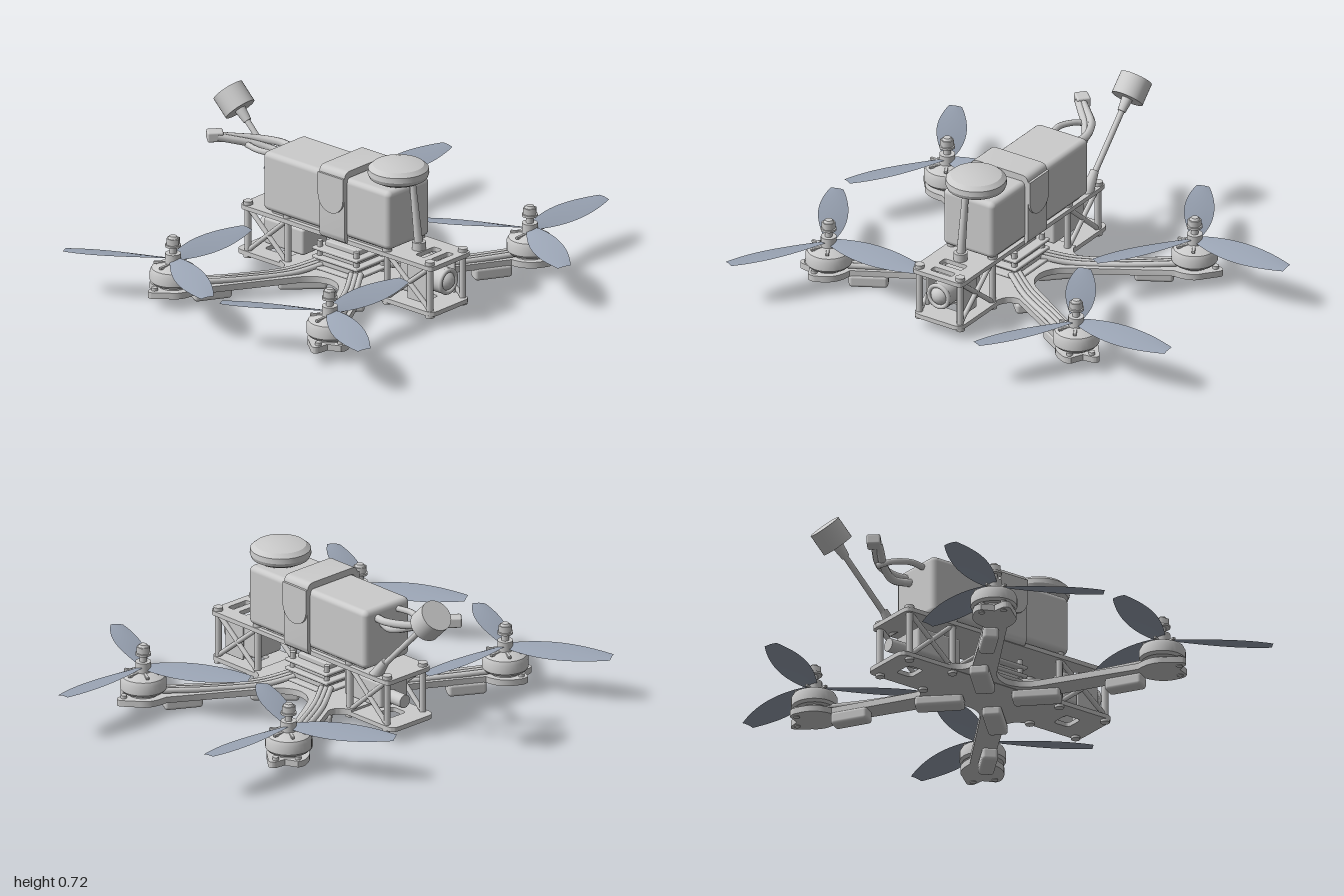
import * as THREE from 'three';
import { toCreasedNormals } from 'three/addons/utils/BufferGeometryUtils.js';
import { RoundedBoxGeometry } from 'three/addons/geometries/RoundedBoxGeometry.js';

const grey = new THREE.MeshStandardMaterial({ color: 0xcccccc });
const bladeMat = new THREE.MeshStandardMaterial({ color: 0x9aa4b4, side: THREE.DoubleSide });
const V = (x, y, z) => new THREE.Vector3(x, y, z);

function add(parent, name, geo, x = 0, y = 0, z = 0, mat = grey) {
  const m = new THREE.Mesh(geo, mat);
  m.name = name;
  m.position.set(x, y, z);
  parent.add(m);
  return m;
}
const box = (p, name, w, h, d, x, y, z, r = 0.008) =>
  add(p, name, new RoundedBoxGeometry(w, h, d, 2, r), x, y, z);
const cyl = (p, name, r, h, x, y, z, n = 20, r2 = r) =>
  add(p, name, new THREE.CylinderGeometry(r2, r, h, n), x, y, z);

// Straight rod between two points
function rod(p, name, a, b, r, r2 = r, n = 12) {
  const m = cyl(p, name, r, a.distanceTo(b), 0, 0, 0, n, r2);
  m.position.copy(a).lerp(b, 0.5);
  m.quaternion.setFromUnitVectors(V(0, 1, 0), b.clone().sub(a).normalize());
  return m;
}
const tube = (p, name, pts, r, n = 20) =>
  add(p, name, new THREE.TubeGeometry(new THREE.CatmullRomCurve3(pts), n, r, 8));

// Horizontal plate: shape is drawn in x,z and its top lies at yTop
function plate(p, name, shape, yTop, t) {
  const g = new THREE.ExtrudeGeometry(shape, { depth: t, bevelEnabled: false, curveSegments: 10 });
  g.rotateX(Math.PI / 2);
  return add(p, name, toCreasedNormals(g, 0.6), 0, yTop, 0);
}

function roundedRect(x0, z0, x1, z1, r) {
  const s = new THREE.Shape();
  s.moveTo(x0 + r, z0);
  s.lineTo(x1 - r, z0).quadraticCurveTo(x1, z0, x1, z0 + r);
  s.lineTo(x1, z1 - r).quadraticCurveTo(x1, z1, x1 - r, z1);
  s.lineTo(x0 + r, z1).quadraticCurveTo(x0, z1, x0, z1 - r);
  s.lineTo(x0, z0 + r).quadraticCurveTo(x0, z0, x0 + r, z0);
  return s;
}

// One blade along +x, pitched more steeply at the root
function bladeGeometry() {
  const g = new THREE.PlaneGeometry(1, 1, 24, 4);
  const pos = g.attributes.position;
  for (let i = 0; i < pos.count; i++) {
    const t = pos.getX(i) + 0.5, s = pos.getY(i);
    const w = 0.02 + 0.11 * Math.pow(Math.sin(Math.PI * (0.06 + 0.86 * t)), 0.8);
    const pitch = 0.32 - 0.2 * t;
    pos.setXYZ(i, 0.025 + 0.45 * t, s * w * Math.sin(pitch) + 0.012 * (0.25 - s * s), -s * w * Math.cos(pitch));
  }
  g.computeVertexNormals();
  return g;
}

function motor() {
  const m = new THREE.Group();
  m.name = 'motor';
  cyl(m, 'motorBase', 0.065, 0.03, 0, 0.095, 0);
  const bell = [[0.02, 0.1], [0.09, 0.1], [0.1, 0.112], [0.1, 0.152], [0.092, 0.168], [0.06, 0.184], [0.03, 0.188], [0, 0.188]];
  add(m, 'motorBell', toCreasedNormals(new THREE.LatheGeometry(bell.map(b => new THREE.Vector2(...b)), 32), 0.5));
  for (let i = 0; i < 6; i++) {
    const a = i * Math.PI / 3;
    box(m, 'bellSpoke', 0.06, 0.012, 0.014, Math.cos(a) * 0.055, 0.184, Math.sin(a) * 0.055, 0.003).rotation.y = -a;
  }
  cyl(m, 'propellerHub', 0.034, 0.045, 0, 0.21, 0);
  cyl(m, 'motorShaft', 0.016, 0.1, 0, 0.25, 0, 12);
  cyl(m, 'nutFlange', 0.034, 0.01, 0, 0.268, 0);
  cyl(m, 'propellerNut', 0.03, 0.03, 0, 0.286, 0, 6);
  cyl(m, 'nutTop', 0.024, 0.012, 0, 0.305, 0, 16, 0.016);
  const blade = bladeGeometry();
  for (let i = 0; i < 3; i++)
    add(m, 'propellerBlade', blade, 0, 0.207, 0, bladeMat).rotation.y = i * Math.PI * 2 / 3;
  return m;
}

// Arm with motor pad, wiring and feet in the quadrant given by the signs
function arm(p, sx, sz) {
  const q = (x, z) => [x * sx, z * sz];
  const s = new THREE.Shape();
  s.moveTo(0, 0);
  s.lineTo(...q(0.14, 0));
  s.quadraticCurveTo(...q(0.145, 0.07), ...q(0.21, 0.112));
  s.lineTo(...q(0.6, 0.35));
  s.quadraticCurveTo(...q(0.69, 0.345), ...q(0.72, 0.4));
  s.lineTo(...q(0.765, 0.455));
  s.quadraticCurveTo(...q(0.78, 0.48), ...q(0.75, 0.49));
  s.lineTo(...q(0.705, 0.495));
  s.lineTo(...q(0.68, 0.55));
  s.quadraticCurveTo(...q(0.655, 0.565), ...q(0.63, 0.55));
  s.quadraticCurveTo(...q(0.55, 0.52), ...q(0.545, 0.43));
  s.lineTo(...q(0.2, 0.235));
  s.quadraticCurveTo(...q(0.14, 0.23), ...q(0.125, 0.3));
  s.lineTo(...q(0, 0.3));
  plate(p, 'arm', s, 0.084, 0.028);
  for (const k of [-0.025, 0, 0.025])
    tube(p, 'motorWire', [V(0.08 * sx, 0.12, (0.1 + k) * sz), V(0.2 * sx, 0.09, (0.175 + k) * sz),
      V(0.4 * sx, 0.09, (0.29 + k) * sz), V(0.59 * sx, 0.1, (0.41 + k) * sz)], 0.013);
  for (const [x, z, l, w, h, a] of [[0.49, 0.365, 0.17, 0.07, 0.058, 0.52], [0.15, 0.147, 0.21, 0.085, 0.05, 0.785]])
    box(p, 'armFoot', l, h, w, x * sx, 0.062 - h / 2, z * sz, 0.015).rotation.y = -a * sx * sz;
  for (const [x, z] of [[0.735, 0.47], [0.66, 0.53]]) cyl(p, 'padScrew', 0.014, 0.045, x * sx, 0.075, z * sz, 12);
  const m = motor();
  m.position.set(0.64 * sx, 0, 0.45 * sz);
  p.add(m);
}

export function createModel() {
  const model = new THREE.Group();
  model.name = 'quadcopter';
  const f = new THREE.Group();
  f.name = 'airframe';
  f.position.x = -0.115;
  model.add(f);

  for (const sx of [-1, 1]) for (const sz of [-1, 1]) arm(f, sx, sz);

  // Bottom and top plates with cut-outs
  const bottom = roundedRect(-0.125, -0.555, 0.125, 0.575, 0.04);
  for (const z of [-0.42, 0.42]) bottom.holes.push(roundedRect(-0.045, z - 0.04, 0.045, z + 0.04, 0.02));
  plate(f, 'bottomPlate', bottom, 0.074, 0.02);
  const top = roundedRect(-0.13, -0.53, 0.13, 0.575, 0.03);
  top.holes.push(roundedRect(-0.055, 0.505, 0.055, 0.54, 0.012), roundedRect(-0.06, 0.42, 0.06, 0.47, 0.015));
  plate(f, 'topPlate', top, 0.285, 0.02);

  // Posts, screws and cross struts of the cage
  for (const x of [-0.105, 0.105]) {
    for (const z of [-0.5, -0.27, 0.3, 0.545]) {
      cyl(f, 'post', 0.015, 0.2, x, 0.17, z, 12);
      cyl(f, 'postScrew', 0.021, 0.018, x, 0.292, z, 12);
      cyl(f, 'postScrew', 0.02, 0.014, x, 0.05, z, 12);
    }
    for (const [a, b] of [[0.31, 0.54], [-0.49, -0.28]]) {
      rod(f, 'crossStrut', V(x, 0.08, a), V(x, 0.265, b), 0.011);
      rod(f, 'crossStrut', V(x, 0.265, a), V(x, 0.08, b), 0.011);
    }
    box(f, 'cameraBracket', 0.012, 0.16, 0.11, x * 0.85, 0.17, 0.46, 0.005);
  }

  // Camera
  box(f, 'cameraBody', 0.15, 0.14, 0.12, 0, 0.175, 0.4, 0.015);
  cyl(f, 'cameraLens', 0.058, 0.11, 0, 0.18, 0.5, 28).rotation.x = Math.PI / 2;
  add(f, 'lensRing', new THREE.TorusGeometry(0.05, 0.01, 10, 28), 0, 0.18, 0.555);
  add(f, 'lensGlass', new THREE.SphereGeometry(0.045, 20, 10), 0, 0.18, 0.535);

  // Electronics stack and transmitter
  for (const [y, w] of [[0.105, 0.25], [0.145, 0.22], [0.185, 0.22]]) box(f, 'circuitBoard', w, 0.014, 0.26, 0, y, 0, 0.005);
  for (const [y, w] of [[0.125, 0.2], [0.163, 0.17], [0.202, 0.13]]) box(f, 'boardChips', w, 0.026, 0.19, 0, y, 0, 0.006);
  for (const x of [-0.085, 0.085]) for (const z of [-0.105, 0.105]) cyl(f, 'stackScrew', 0.013, 0.15, x, 0.145, z, 12);
  box(f, 'transmitter', 0.16, 0.12, 0.23, 0, 0.175, -0.32, 0.012);
  cyl(f, 'rearConnector', 0.03, 0.1, 0.02, 0.16, -0.47, 16).rotation.x = Math.PI / 2;

  // Battery and strap
  box(f, 'battery', 0.265, 0.27, 0.73, 0, 0.43, -0.03, 0.025);
  box(f, 'batteryPad', 0.22, 0.02, 0.66, 0, 0.292, -0.03, 0.006);
  const strap = roundedRect(-0.148, 0.265, 0.148, 0.598, 0.035);
  strap.holes.push(roundedRect(-0.13, 0.28, 0.13, 0.568, 0.02));
  const sg = new THREE.ExtrudeGeometry(strap, { depth: 0.145, bevelEnabled: false, curveSegments: 6 });
  add(f, 'batteryStrap', toCreasedNormals(sg, 0.6), 0, 0, -0.052);
  const flap = new THREE.Shape();
  flap.moveTo(-0.072, 0.57);
  flap.lineTo(-0.072, 0.47).absarc(0, 0.47, 0.072, Math.PI, Math.PI * 2, false);
  flap.lineTo(0.072, 0.57);
  const fg = new THREE.ExtrudeGeometry(flap, { depth: 0.014, bevelEnabled: false });
  fg.rotateY(Math.PI / 2);
  for (const x of [-0.158, 0.144]) add(f, 'strapFlap', fg, x, 0, 0.02);

  // Satellite receiver puck on a mast
  const puck = [[0, 0.574], [0.1, 0.574], [0.125, 0.588], [0.132, 0.605], [0.13, 0.628], [0.11, 0.645], [0.07, 0.654], [0, 0.657]];
  add(f, 'receiverPuck', toCreasedNormals(new THREE.LatheGeometry(puck.map(b => new THREE.Vector2(...b)), 40), 0.45), 0, 0, 0.27);
  rod(f, 'receiverMast', V(0, 0.28, 0.39), V(0, 0.59, 0.35), 0.02, 0.014);
  cyl(f, 'mastFoot', 0.03, 0.04, 0, 0.3, 0.388, 16);

  // Video antenna leaning back
  const dir = V(0, 0.7, -0.71).normalize();
  const head = V(0.1, 0.633, -0.765);
  const at = d => head.clone().addScaledVector(dir, d);
  rod(f, 'antennaSocket', V(0.1, 0.27, -0.42), V(0.1, 0.36, -0.485), 0.03, 0.018);
  rod(f, 'antennaPole', V(0.1, 0.33, -0.465), at(-0.045), 0.013);
  rod(f, 'antennaCollar', at(-0.11), at(-0.04), 0.018, 0.026, 16);
  rod(f, 'antennaHead', at(-0.05), at(0.05), 0.072, 0.072, 32);

  // Battery leads and plug
  tube(f, 'batteryLead', [V(0.06, 0.52, -0.39), V(0.07, 0.525, -0.46), V(0.03, 0.53, -0.56), V(-0.04, 0.54, -0.63), V(-0.1, 0.55, -0.68)], 0.018);
  tube(f, 'batteryLead', [V(0.03, 0.49, -0.39), V(0.05, 0.49, -0.47), V(0.0, 0.515, -0.56), V(-0.06, 0.535, -0.62), V(-0.11, 0.55, -0.67)], 0.018);
  tube(f, 'balanceLead', [V(-0.06, 0.53, -0.39), V(-0.07, 0.53, -0.47), V(-0.04, 0.52, -0.55), V(0.0, 0.5, -0.6)], 0.014);
  box(f, 'batteryPlug', 0.06, 0.045, 0.07, -0.105, 0.55, -0.69, 0.008).rotation.y = 0.85;
  return model;
}
